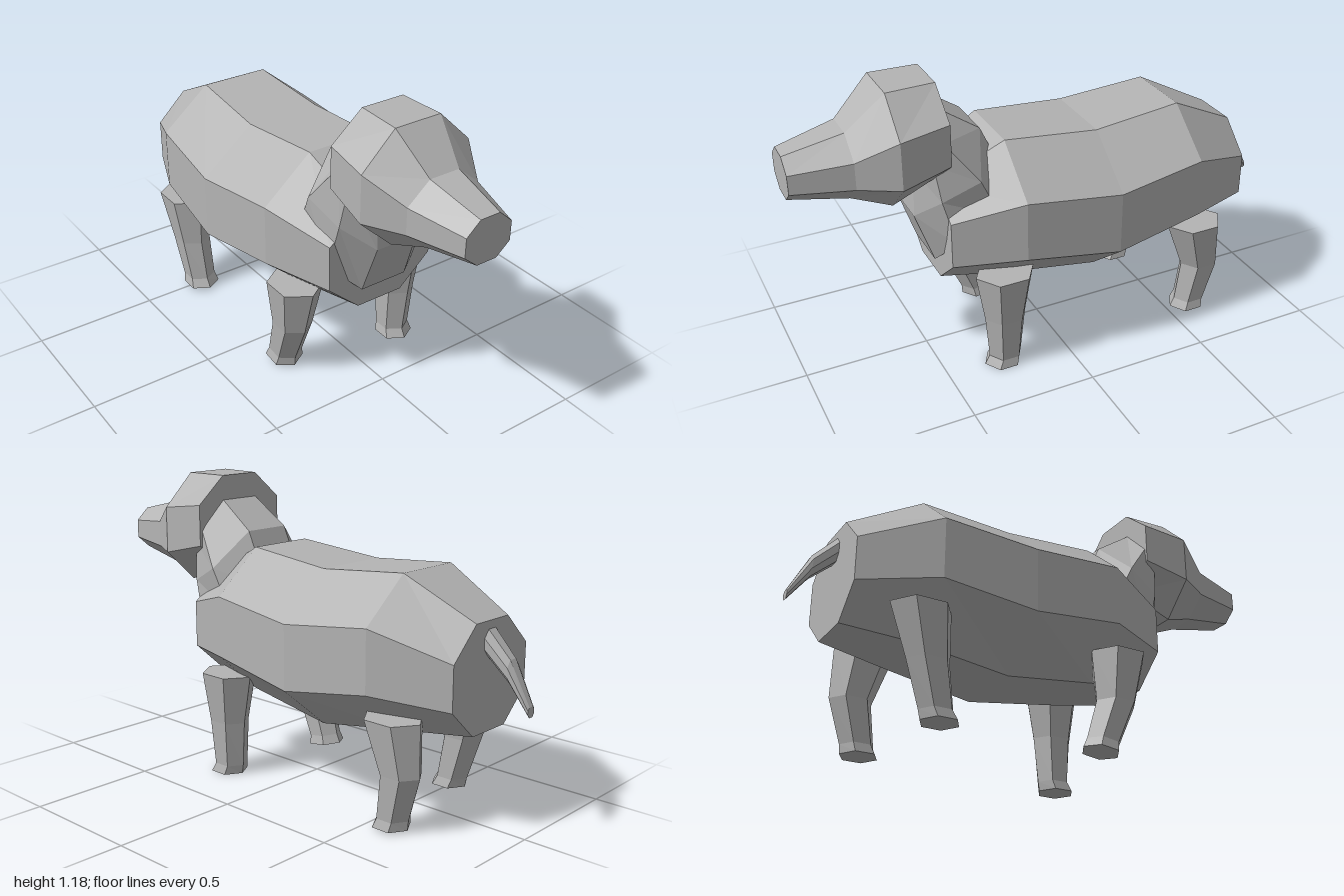
import * as THREE from 'three';

// Closed, flat-faced skin through a series of rings (arrays of [x, y, z])
function loft(rings) {
  const n = rings[0].length;
  const pts = rings.flat();
  const index = [];
  for (let r = 0; r < rings.length - 1; r++) {
    for (let i = 0; i < n; i++) {
      const a = r * n + i, b = r * n + (i + 1) % n;
      index.push(a, b, b + n, a, b + n, a + n);
    }
  }
  const last = (rings.length - 1) * n;
  for (let i = 1; i < n - 1; i++) {
    index.push(0, i + 1, i, last, last + i, last + i + 1);
  }
  // Turn the faces outward if the rings ran the other way
  const [a, b, c] = [0, 1, 2].map(() => new THREE.Vector3());
  let volume = 0;
  for (let i = 0; i < index.length; i += 3) {
    a.fromArray(pts[index[i]]);
    b.fromArray(pts[index[i + 1]]);
    c.fromArray(pts[index[i + 2]]);
    volume += a.dot(b.cross(c));
  }
  if (volume < 0) index.reverse();

  const geometry = new THREE.BufferGeometry();
  geometry.setAttribute('position', new THREE.Float32BufferAttribute(pts.flat(), 3));
  geometry.setIndex(index);
  const flat = geometry.toNonIndexed();
  flat.computeVertexNormals();
  return flat;
}

// Eight-sided ring from four points of its left half, top to bottom
const mirrorRing = (half) => [
  ...half,
  ...half.slice().reverse().map(([x, y, z]) => [-x, y, z]),
];

// Upright eight-sided ring: z, flat half width, full half width, four heights
const octagon = ([z, flat, wide, top, upper, lower, bottom]) => mirrorRing([
  [flat, top, z], [wide, upper, z], [wide, lower, z], [flat, bottom, z],
]);

// Six-sided leg ring: centre x, y, z, half width in x, half depth in z
const hexagon = ([x, y, z, w, d, tilt = 0]) => Array.from({ length: 6 }, (_, i) => {
  const t = i * Math.PI / 3;
  return [x + w * Math.sin(t) / 0.866, y - tilt * Math.cos(t), z + d * Math.cos(t)];
});

export function createModel() {
  const model = new THREE.Group();
  const coat = new THREE.MeshStandardMaterial({ color: 0xb4b4b4, flatShading: true });
  coat.name = 'grey coat';

  const add = (name, rings) => {
    const mesh = new THREE.Mesh(loft(rings), coat);
    mesh.name = name;
    model.add(mesh);
  };

  // Barrel body, chest to rump
  add('body', [
    [0.46, 0.10, 0.235, 0.78, 0.675, 0.49, 0.37],
    [0.20, 0.14, 0.34, 0.92, 0.75, 0.51, 0.335],
    [-0.18, 0.155, 0.37, 0.885, 0.71, 0.457, 0.28],
    [-0.545, 0.14, 0.34, 0.915, 0.75, 0.51, 0.335],
    [-0.83, 0.095, 0.22, 0.77, 0.65, 0.48, 0.365],
  ].map(octagon));

  // Neck rising out of the chest
  add('neck', [
    [[0.10, 0.75, 0.18], [0.23, 0.66, 0.26], [0.22, 0.57, 0.43], [0.10, 0.455, 0.48]],
    [[0.10, 0.97, 0.28], [0.245, 0.83, 0.34], [0.21, 0.76, 0.48], [0.09, 0.66, 0.55]],
    [[0.09, 1.08, 0.44], [0.20, 0.99, 0.46], [0.19, 0.91, 0.50], [0.09, 0.85, 0.54]],
  ].map(mirrorRing));

  // Head tapering into the muzzle
  add('head', [
    [0.44, 0.09, 0.22, 1.18, 1.07, 0.905, 0.81],
    [0.63, 0.098, 0.235, 1.18, 1.047, 0.86, 0.73],
    [0.775, 0.063, 0.155, 1.043, 0.965, 0.86, 0.78],
    [1.0, 0.042, 0.098, 0.992, 0.942, 0.867, 0.82],
  ].map(octagon));

  // Drooping tail
  add('tail', [
    [-0.81, 0.022, 0.046, 0.76, 0.73, 0.69, 0.66],
    [-0.92, 0.017, 0.036, 0.645, 0.62, 0.585, 0.56],
    [-1.0, 0.010, 0.020, 0.49, 0.48, 0.465, 0.452],
  ].map(octagon));

  // Legs in mid-step: side, then z of the hip, knee, ankle and foot, and foot lift
  const legs = [
    ['leftFrontLeg', 1, 0.253, 0.255, 0.255, 0.268, 0, 0],
    ['rightFrontLeg', -1, 0.253, 0.235, 0.175, 0.165, 0.02, 0.01],
    ['leftHindLeg', 1, -0.595, -0.635, -0.60, -0.59, 0.01, 0],
    ['rightHindLeg', -1, -0.585, -0.55, -0.51, -0.495, 0.01, 0],
  ];
  for (const [name, side, hip, knee, ankle, foot, lift, tilt] of legs) {
    add(name, [
      [side * 0.245, 0.42, hip, 0.09, 0.12],
      [side * 0.246, 0.22, knee, 0.064, 0.085],
      [side * 0.24, 0.036 + lift, ankle, 0.056, 0.068, tilt],
      [side * 0.24, lift, foot, 0.064, 0.075, tilt],
    ].map(hexagon));
  }

  return model;
}
